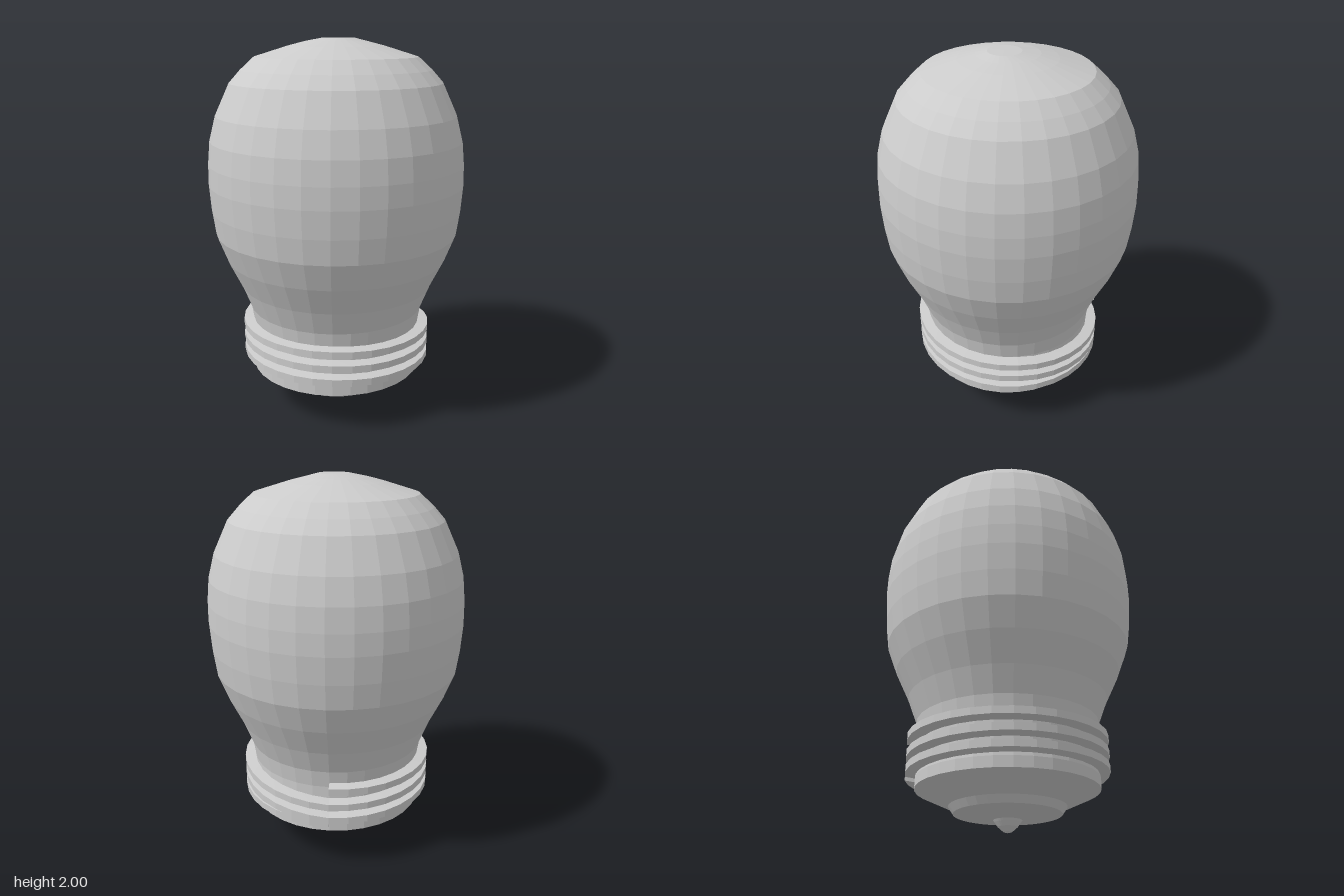
import * as THREE from 'three';

const SIDES = 32;
const material = new THREE.MeshStandardMaterial({ color: 0xcccccc, flatShading: true, side: THREE.DoubleSide });

function lathe(name, profile) {
  const points = profile.map(([r, y]) => new THREE.Vector2(r, y));
  const mesh = new THREE.Mesh(new THREE.LatheGeometry(points, SIDES), material);
  mesh.name = name;
  return mesh;
}

// Trapezoid ridge wound around the base, starting at the back
function screwThread() {
  // Ridge height at every quarter turn: back, right, front, left, ...
  const heights = [0.463, 0.46, 0.46, 0.435, 0.372, 0.382, 0.382, 0.357, 0.295, 0.305, 0.305, 0.28, 0.276];
  const section = [[0.445, -0.032], [0.522, -0.019], [0.522, 0.018], [0.445, 0.026]];
  const perQuarter = SIDES / 4;
  const steps = (heights.length - 1) * perQuarter;
  const positions = [];
  const index = [];
  for (let i = 0; i <= steps; i++) {
    const q = Math.min(Math.floor(i / perQuarter), heights.length - 2);
    const y = THREE.MathUtils.lerp(heights[q], heights[q + 1], i / perQuarter - q);
    const a = (i / SIDES) * Math.PI * 2;
    for (const [r, dy] of section) positions.push(-r * Math.sin(a), y + dy, -r * Math.cos(a));
    if (i === steps) break;
    for (let j = 0; j < 4; j++) {
      const a0 = i * 4 + j, b0 = i * 4 + (j + 1) % 4;
      index.push(a0, a0 + 4, b0, b0, a0 + 4, b0 + 4);
    }
  }
  // End caps
  const e = steps * 4;
  index.push(0, 1, 2, 0, 2, 3, e, e + 2, e + 1, e, e + 3, e + 2);
  const geometry = new THREE.BufferGeometry();
  geometry.setAttribute('position', new THREE.Float32BufferAttribute(positions, 3));
  geometry.setIndex(index);
  geometry.computeVertexNormals();
  const mesh = new THREE.Mesh(geometry, material);
  mesh.name = 'screwThread';
  return mesh;
}

export function createModel() {
  const group = new THREE.Group();
  group.name = 'lightBulb';

  // Glass envelope with a slightly off-centre flat tip
  const glass = lathe('glassBulb', [
    [0.463, 0.46], [0.478, 0.555], [0.528, 0.685], [0.6, 0.835], [0.655, 0.98], [0.673, 1.11],
    [0.683, 1.25], [0.681, 1.36], [0.669, 1.48], [0.635, 1.61], [0.558, 1.775], [0.5, 1.84],
    [0.428, 1.905], [0.25, 1.96], [0.16, 1.983], [0.085, 1.999], [0, 2],
  ]);
  const p = glass.geometry.attributes.position;
  for (let i = 0; i < p.count; i++) {
    if (p.getY(i) > 1.99) p.setXYZ(i, p.getX(i) + 0.012, p.getY(i), p.getZ(i) + 0.018);
  }
  group.add(glass);

  // Metal base: sleeve, tapered underside and stepped insulator
  group.add(lathe('base', [
    [0, 0.06], [0.08, 0.063], [0.275, 0.09], [0.3, 0.127], [0.472, 0.205], [0.472, 0.26], [0.465, 0.3], [0.463, 0.48],
  ]));
  group.add(screwThread());

  // Rounded contact at the bottom
  group.add(lathe('contactTip', [[0, 0], [0.022, 0.006], [0.05, 0.03], [0.066, 0.052], [0.075, 0.066]]));
  return group;
}
